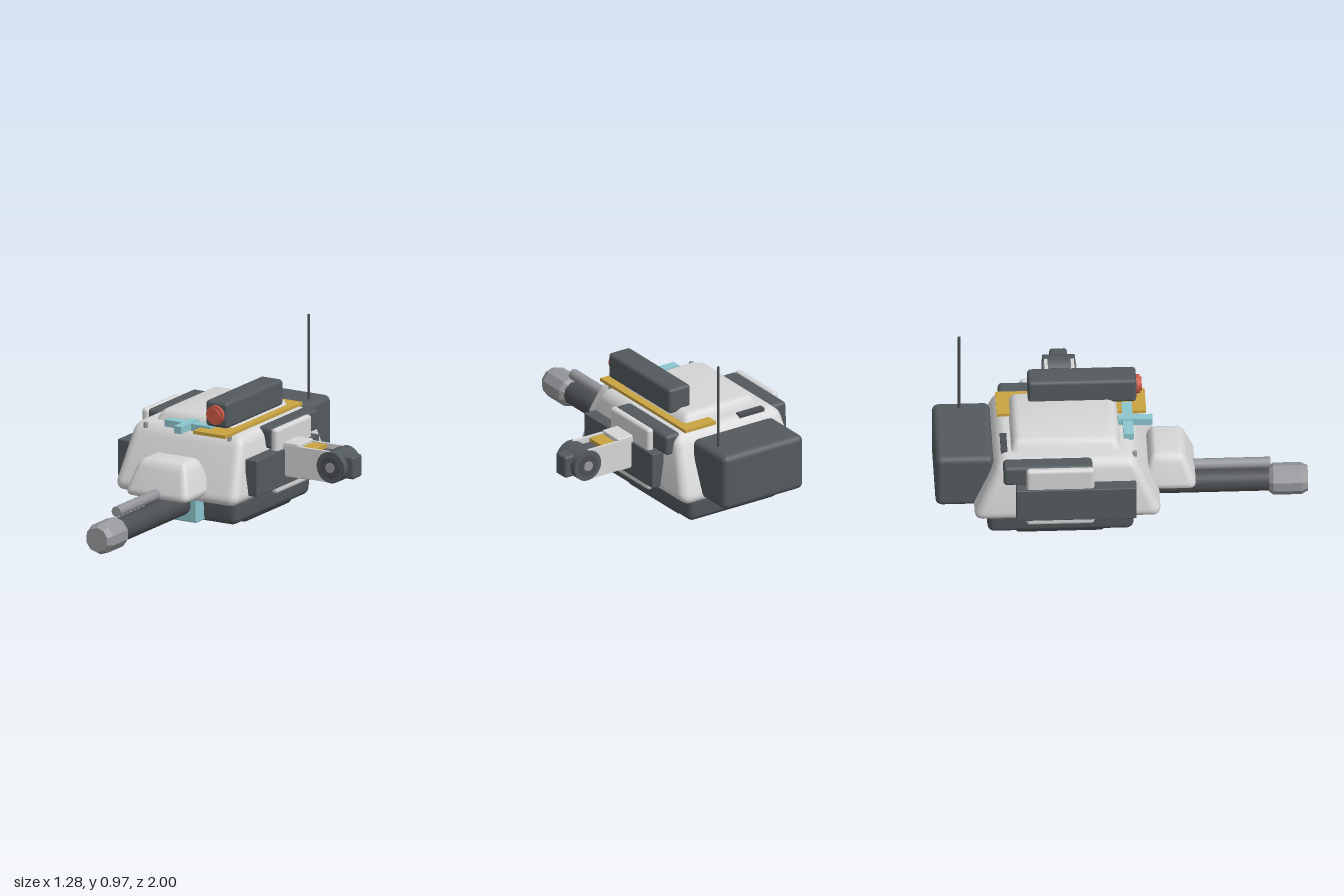
import * as THREE from 'three';
import { mergeVertices, toCreasedNormals } from 'three/addons/utils/BufferGeometryUtils.js';
import { RoundedBoxGeometry } from 'three/addons/geometries/RoundedBoxGeometry.js';

const mat = (name, color) => {
  const m = new THREE.MeshStandardMaterial({ color });
  m.name = name;
  return m;
};

export function createModel() {
  const root = new THREE.Group();
  root.name = 'turret';
  const light = mat('light armour', 0xd6d6d6);
  const dark = mat('dark armour', 0x535a5e);
  const barrelDark = mat('barrel metal', 0x4b4e52);
  const grey = mat('bare metal', 0x97989c);
  const gold = mat('gold', 0xc9a441);
  const cyan = mat('cyan', 0x8cc6cf);
  const red = mat('lens red', 0xcc5a48);

  const add = (name, geo, m, x = 0, y = 0, z = 0, parent = root) => {
    const mesh = new THREE.Mesh(geo, m);
    mesh.name = name;
    mesh.position.set(x, y, z);
    parent.add(mesh);
    return mesh;
  };

  // box given by its extents, with optional rounded edges
  const box = (name, m, [x0, x1], [y0, y1], [z0, z1], r = 0, parent = root) => {
    const s = [x1 - x0, y1 - y0, z1 - z0];
    const geo = r ? new RoundedBoxGeometry(...s, 3, r) : new THREE.BoxGeometry(...s);
    return add(name, geo, m, (x0 + x1) / 2, (y0 + y1) / 2, (z0 + z1) / 2, parent);
  };

  // rounded block blending from a bottom rectangle to a top one: [x0, x1, z0, z1]
  const tapered = (name, m, y0, y1, bottom, top, r) => {
    const w = bottom[1] - bottom[0], d = bottom[3] - bottom[2], h = y1 - y0;
    let geo = new RoundedBoxGeometry(w, h, d, 4, r);
    geo.deleteAttribute('normal');
    geo.deleteAttribute('uv');
    geo = mergeVertices(geo, 1e-4);
    const p = geo.attributes.position;
    for (let i = 0; i < p.count; i++) {
      const t = p.getY(i) / h + 0.5;
      const e = bottom.map((v, k) => v + (top[k] - v) * t);
      const u = p.getX(i) / w + 0.5, v = p.getZ(i) / d + 0.5;
      p.setXYZ(i, e[0] + (e[1] - e[0]) * u, y0 + h * t, e[2] + (e[3] - e[2]) * v);
    }
    return add(name, toCreasedNormals(geo, 0.6), m);
  };

  // cylinder along z between two depths
  const rodZ = (name, m, x, y, z0, z1, r, sides = 24, parent = root) => {
    const geo = new THREE.CylinderGeometry(r, r, z1 - z0, sides).rotateX(Math.PI / 2);
    return add(name, geo, m, x, y, (z0 + z1) / 2, parent);
  };

  // hull and base
  tapered('hull', light, 0.165, 0.525, [-0.595, 0.185, -0.815, 0.22], [-0.54, 0.13, -0.66, 0.06], 0.06);
  tapered('roofPlate', light, 0.48, 0.585, [-0.475, 0.06, -0.61, 0.01], [-0.42, 0.01, -0.575, -0.035], 0.035);
  tapered('base', dark, 0.02, 0.2, [-0.49, 0.085, -0.72, 0.055], [-0.505, 0.1, -0.735, 0.07], 0.035);
  tapered('bellyPlate', dark, 0, 0.05, [-0.46, 0.05, -0.56, -0.11], [-0.49, 0.08, -0.59, -0.08], 0.01);
  box('frontBracket', cyan, [-0.3, -0.105], [0.03, 0.18], [0.04, 0.14], 0.008);
  box('rearBin', dark, [-0.465, 0.055], [0.185, 0.5], [-1, -0.69], 0.035);

  // gun
  tapered('mantlet', light, 0.205, 0.405, [-0.41, 0, 0.1, 0.41], [-0.345, -0.065, 0.16, 0.33], 0.045);
  rodZ('barrel', barrelDark, -0.205, 0.127, 0.05, 0.82, 0.065);
  const profile = [[0, 0.79], [0.066, 0.79], [0.086, 0.815], [0.086, 0.965], [0.068, 1], [0, 1]];
  const muzzle = new THREE.LatheGeometry(profile.map(([r, y]) => new THREE.Vector2(r, y)), 10);
  muzzle.rotateX(Math.PI / 2);
  add('muzzle', toCreasedNormals(muzzle, 0.3), grey, -0.205, 0.125, 0);
  rodZ('recoilRod', grey, -0.205, 0.235, 0.3, 0.8, 0.03, 8);

  // roof fittings
  box('sightCrossbar', cyan, [-0.35, -0.06], [0.515, 0.553], [0.01, 0.065]);
  box('sightBar', cyan, [-0.227, -0.182], [0.52, 0.56], [-0.015, 0.17]);
  box('goldRail', gold, [-0.125, 0.075], [0.523, 0.541], [-0.66, 0.14]);
  box('sensorPod', dark, [-0.08, 0.06], [0.562, 0.706], [-0.49, 0.09], 0.02);
  rodZ('lensRing', red, -0.01, 0.635, 0.08, 0.11, 0.052);
  rodZ('lens', red, -0.01, 0.635, 0.1, 0.12, 0.037);
  box('roofVent', barrelDark, [-0.445, -0.285], [0.5, 0.533], [-0.65, -0.615]);
  for (const x of [-0.465, 0.058]) {
    add('roofBolt', new THREE.CylinderGeometry(0.012, 0.012, 0.03, 12), grey, x, 0.507, 0.065);
  }
  add('antenna', new THREE.CylinderGeometry(0.008, 0.008, 0.5, 10), barrelDark, -0.005, 0.72, -0.855);

  // side armour, mirrored about the hull centre line
  const mid = -0.205;
  for (const s of [-1, 1]) {
    const side = (a, b) => [mid + s * a, mid + s * b].sort((p, q) => p - q);
    const tag = s > 0 ? 'left' : 'right';
    box(tag + 'Skirt', dark, side(0.36, 0.435), [0.205, 0.405], [-0.575, 0.068], 0.006);
    box(tag + 'Panel', light, side(0.383, 0.425), [0.167, 0.525], [-0.52, -0.158], 0.018);
    box(tag + 'Pod', dark, side(0.295, 0.391), [0.408, 0.525], [-0.642, -0.165], 0.02);
  }

  // side arm
  const arm = new THREE.Group();
  arm.name = 'sideArm';
  root.add(arm);
  const outline = new THREE.Shape();
  outline.moveTo(0.2, 0.262);
  outline.lineTo(0.52, 0.258);
  outline.absarc(0.515, 0.344, 0.085, -Math.PI / 2, Math.PI / 2, false);
  outline.lineTo(0.2, 0.428);
  outline.closePath();
  for (const z of [-0.38, -0.238]) {
    const plate = new THREE.ExtrudeGeometry(outline, { depth: 0.018, bevelEnabled: false });
    add('armPlate', plate, light, 0, 0, z, arm);
  }
  box('armRoot', light, [0.2, 0.315], [0.25, 0.441], [-0.375, -0.225], 0.008, arm);
  box('armGoldBlock', gold, [0.325, 0.41], [0.27, 0.426], [-0.357, -0.243], 0, arm);
  box('armCore', dark, [0.31, 0.5], [0.285, 0.405], [-0.35, -0.25], 0, arm);
  box('armLowerRail', grey, [0.23, 0.365], [0.243, 0.27], [-0.34, -0.26], 0, arm);
  rodZ('joint', dark, 0.518, 0.344, -0.386, -0.214, 0.086, 32, arm);
  rodZ('jointRing', barrelDark, 0.518, 0.344, -0.39, -0.21, 0.06, 24, arm);
  rodZ('jointHub', grey, 0.518, 0.344, -0.394, -0.206, 0.028, 16, arm);
  box('armTip', dark, [0.56, 0.638], [0.283, 0.408], [-0.347, -0.253], 0.014, arm);

  return root;
}
